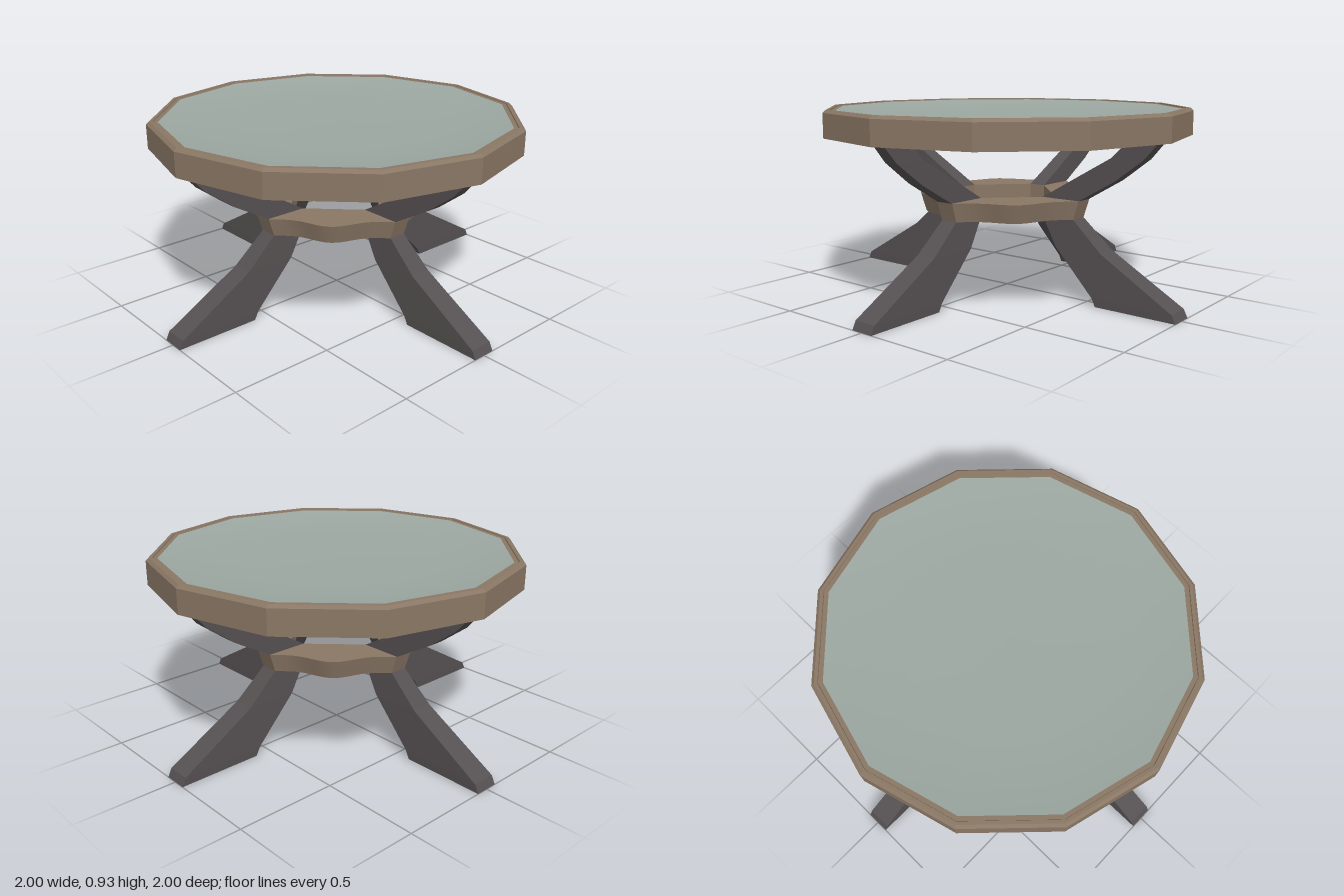
import * as THREE from 'three';
import { toCreasedNormals } from 'three/addons/utils/BufferGeometryUtils.js';

const wood = new THREE.MeshStandardMaterial({ color: 0x8a7765 });
wood.name = 'brown wood';
const dark = new THREE.MeshStandardMaterial({ color: 0x555051 });
dark.name = 'dark grey leg';
const glass = new THREE.MeshStandardMaterial({ color: 0x9ca7a1 });
glass.name = 'grey green glass';

function part(name, geometry, material) {
  const mesh = new THREE.Mesh(geometry, material);
  mesh.name = name;
  return mesh;
}

function flat(geometry) {
  const g = geometry.index ? geometry.toNonIndexed() : geometry;
  g.computeVertexNormals();
  return g;
}

// Twelve-sided turned shape from a profile of [radius, height]
function turned(profile) {
  return new THREE.LatheGeometry(profile.map(([x, y]) => new THREE.Vector2(x, y)), 12);
}

// Four-sided limb through rows of [height, inner x, outer x, half width]
function limb(rows) {
  const pos = [];
  const quad = (a, b, c, d) => [a, b, c, a, c, d].forEach((p) => pos.push(...p));
  const rings = rows.map(([y, i, o, w]) => [[o, y, w], [i, y, w], [i, y, -w], [o, y, -w]]);
  for (let r = 0; r < rings.length - 1; r++) {
    for (let k = 0; k < 4; k++) {
      const n = (k + 1) % 4;
      quad(rings[r][n], rings[r][k], rings[r + 1][k], rings[r + 1][n]);
    }
  }
  const [b, t] = [rings[0], rings[rings.length - 1]];
  quad(b[0], b[1], b[2], b[3]);
  quad(t[3], t[2], t[1], t[0]);
  const g = new THREE.BufferGeometry();
  g.setAttribute('position', new THREE.Float32BufferAttribute(pos, 3));
  return flat(g);
}

// Collar: a block face at each leg, a wavy band between, an eight-sided hole
function collarGeometry() {
  const outer = [], inner = [];
  const R = 0.44, W = 0.045, H = 0.26, steps = 16;
  for (let q = 0; q < 4; q++) {
    const turn = (x, y) => new THREE.Vector2(x, y).rotateAround(new THREE.Vector2(), q * Math.PI / 2);
    outer.push(turn(R, -W));
    for (let s = 0; s <= steps; s++) {
      const t = s / steps;
      const bulge = 0.07 * Math.sin(Math.PI * t) ** 2 - 0.02 * Math.sin(2 * Math.PI * t) ** 2;
      const d = bulge * Math.SQRT1_2;
      outer.push(turn(R + (W - R) * t + d, W + (R - W) * t + d));
    }
    inner.push(turn(H, -W), turn(H, W));
  }
  const shape = new THREE.Shape(outer);
  shape.holes.push(new THREE.Path(inner));
  const g = new THREE.ExtrudeGeometry(shape, { depth: 0.093, bevelEnabled: false });
  g.rotateX(-Math.PI / 2);
  // flare the outer wall towards the top
  const p = g.attributes.position;
  for (let i = 0; i < p.count; i++) {
    const x = p.getX(i), z = p.getZ(i);
    if (p.getY(i) > 0.05 && Math.hypot(x, z) > 0.3) p.setXYZ(i, x * 1.068, p.getY(i), z * 1.068);
  }
  g.translate(0, 0.402, 0);
  return toCreasedNormals(g, 0.5);
}

export function createModel() {
  const model = new THREE.Group();
  model.name = 'roundTable';

  // Twelve-sided top with a chamfered rim and a small inner step
  model.add(part('tableTop', flat(turned([
    [0, 0.794], [0.922, 0.794], [0.922, 0.913], [0.907, 0.927],
    [0.891, 0.927], [0.889, 0.921], [0.867, 0.921],
  ])), wood));

  // Gently dished glass, smooth across
  model.add(part('glassPane', turned([
    [0.867, 0.921], [0.72, 0.9], [0.5, 0.887], [0, 0.882],
  ]), glass));

  model.add(part('collar', collarGeometry(), wood));

  // Four splayed legs above and below the collar
  const lower = limb([
    [0, 0.58, 1, 0.06], [0.04, 0.56, 0.98, 0.06],
    [0.26, 0.345, 0.6, 0.053], [0.402, 0.26, 0.44, 0.045],
  ]);
  const upper = limb([
    [0.495, 0.26, 0.47, 0.045], [0.605, 0.45, 0.66, 0.041],
    [0.714, 0.64, 0.805, 0.037], [0.797, 0.725, 0.878, 0.033],
  ]);
  for (let i = 0; i < 4; i++) {
    const leg = new THREE.Group();
    leg.name = 'leg' + (i + 1);
    leg.add(part('lowerLeg', lower, dark), part('upperLeg', upper, dark));
    leg.rotation.y = i * Math.PI / 2;
    model.add(leg);
  }
  return model;
}
